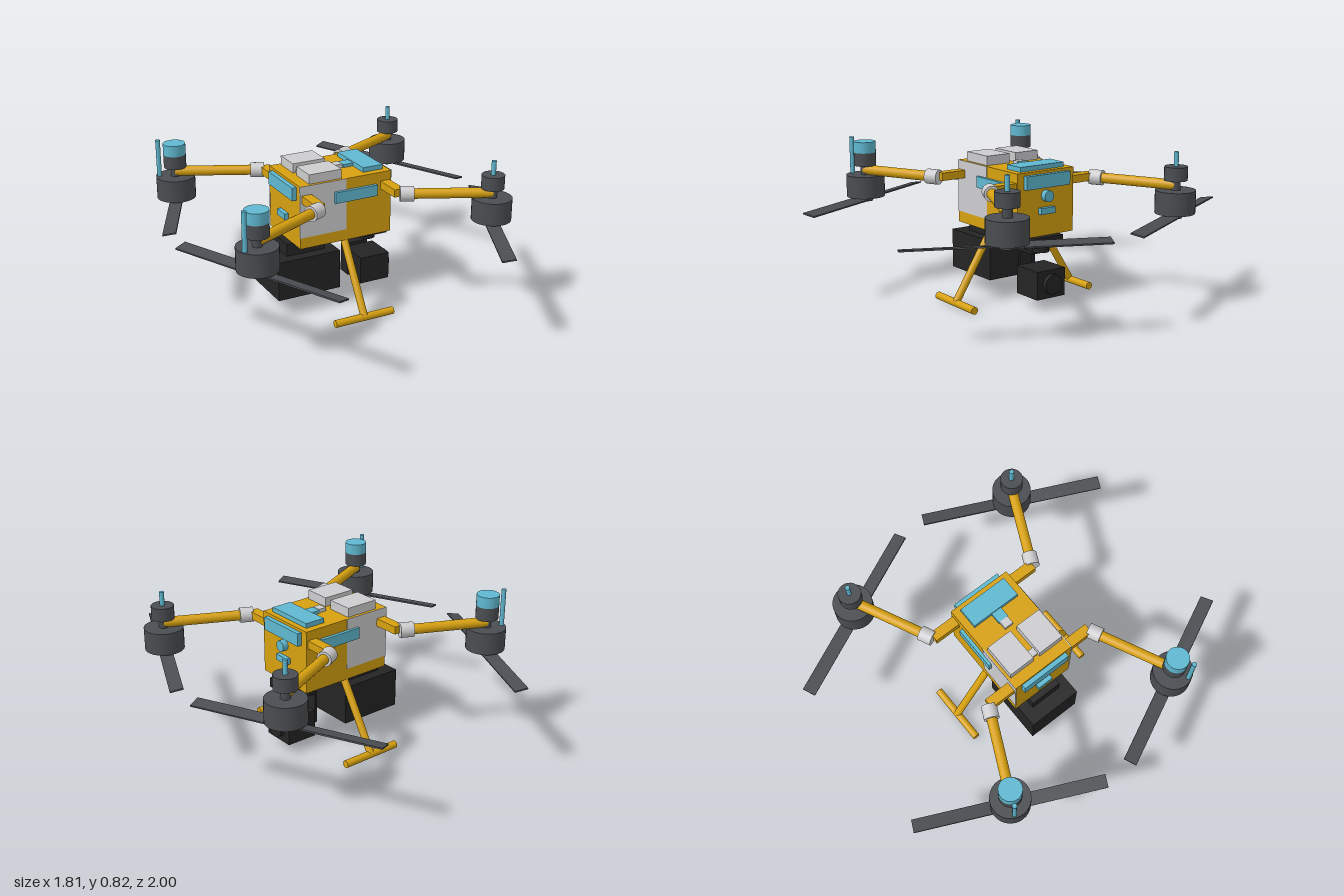
import * as THREE from 'three';

const paint = (name, hex) => Object.assign(new THREE.MeshStandardMaterial({ color: hex }), { name });

export function createModel() {
  const yellow = paint('amber yellow', 0xd6a00f);
  const teal = paint('light teal', 0x5fb8d0);
  const grey = paint('pale grey', 0xcdcdcf);
  const slate = paint('slate grey', 0x4a4d51);
  const black = paint('soft black', 0x242424);
  const model = new THREE.Group();
  model.name = 'quadcopter';

  const add = (parent, name, geometry, material) => {
    const mesh = new THREE.Mesh(geometry, material);
    mesh.name = name;
    parent.add(mesh);
    return mesh;
  };
  // Box given by its limits on each axis
  const box = (parent, name, material, [x0, x1], [y0, y1], [z0, z1]) => {
    const mesh = add(parent, name, new THREE.BoxGeometry(x1 - x0, y1 - y0, z1 - z0), material);
    mesh.position.set((x0 + x1) / 2, (y0 + y1) / 2, (z0 + z1) / 2);
    return mesh;
  };
  // Cylinder between two points
  const rod = (parent, name, material, a, b, radius, sides = 20) => {
    const p = new THREE.Vector3(...a), q = new THREE.Vector3(...b);
    const mesh = add(parent, name, new THREE.CylinderGeometry(radius, radius, p.distanceTo(q), sides), material);
    mesh.position.copy(p).lerp(q, 0.5);
    mesh.quaternion.setFromUnitVectors(new THREE.Vector3(0, 1, 0), q.sub(p).normalize());
    return mesh;
  };

  // Hull
  const body = new THREE.Group();
  body.name = 'body';
  model.add(body);
  box(body, 'hull', yellow, [-0.265, 0.265], [0.38, 0.72], [-0.18, 0.18]);
  box(body, 'topPlate', teal, [0.12, 0.235], [0.72, 0.745], [-0.14, 0.14]);
  box(body, 'topSensor', teal, [0.06, 0.12], [0.72, 0.737], [-0.03, 0.03]);
  box(body, 'topConnector', grey, [0.015, 0.06], [0.72, 0.74], [-0.025, 0.025]);
  box(body, 'topLatch', grey, [-0.19, -0.15], [0.72, 0.735], [-0.025, 0.025]);
  box(body, 'bottomSensor', teal, [0.045, 0.1], [0.36, 0.38], [-0.14, 0.14]);
  for (const s of [-1, 1]) {
    const across = (a, b) => [Math.min(s * a, s * b), Math.max(s * a, s * b)];
    box(body, 'topPack', grey, [-0.205, -0.02], [0.72, 0.77], across(0.02, 0.165));
    box(body, 'sidePanel', grey, [-0.267, 0], [0.44, 0.72], across(0.176, 0.182));
    box(body, 'sideStrip', teal, [-0.07, 0.175], [0.6, 0.66], across(0.18, 0.198));
    box(body, 'endBand', teal, across(0.265, 0.29), [0.635, 0.705], [-0.14, 0.14]);
    box(body, 'endSensor', teal, across(0.265, 0.288), [0.497, 0.53], [-0.045, 0.045]);
  }
  rod(body, 'eyeSensor', teal, [0.265, 0.59, 0], [0.297, 0.59, 0], 0.03, 12);

  // Arms with motors and propellers
  for (const sx of [-1, 1]) for (const sz of [-1, 1]) {
    const arm = new THREE.Group();
    arm.name = 'arm';
    model.add(arm);
    const at = (x, y, z) => [sx * x, y, sz * z];
    const X = 0.66, Z = 0.53;
    const stub = add(arm, 'armStub', new THREE.BoxGeometry(0.055, 0.042, 0.17), yellow);
    stub.position.set(...at(0.228, 0.65, 0.24));
    rod(arm, 'armTube', yellow, at(0.235, 0.645, 0.328), at(X, 0.645, Z), 0.027);
    rod(arm, 'armCollar', grey, at(0.23, 0.645, 0.326), at(0.295, 0.645, 0.357), 0.04);

    rod(arm, 'motorDrum', slate, at(X, 0.5, Z), at(X, 0.62, Z), 0.104, 32);
    rod(arm, 'motorNeck', slate, at(X, 0.62, Z), at(X, 0.67, Z), 0.025);
    rod(arm, 'motorCap', slate, at(X, 0.67, Z), at(X, 0.742, Z), 0.06, 24);
    if (sx > 0) {
      rod(arm, 'antennaPost', teal, at(X, 0.74, Z), at(X, 0.817, Z), 0.0125, 12);
    } else {
      rod(arm, 'receiverDisc', teal, at(X, 0.742, Z), at(X, 0.802, Z), 0.06, 24);
      rod(arm, 'antenna', teal, at(0.738, 0.62, 0.566), at(0.738, 0.82, 0.566), 0.0125, 12);
    }

    // Two blades, pitched in opposite senses
    const propeller = new THREE.Group();
    propeller.name = 'propeller';
    propeller.position.set(...at(X, 0.487, Z));
    propeller.rotation.y = Math.atan2(-sx * 0.425, sz * 0.905);
    arm.add(propeller);
    rod(propeller, 'propellerHub', slate, [0, -0.013, 0], [0, 0.013, 0], 0.038);
    for (const end of [-1, 1]) {
      const blade = add(propeller, 'blade', new THREE.BoxGeometry(0.07, 0.008, 0.5), slate);
      blade.position.z = end * 0.25;
      blade.rotation.z = end * sx * sz * 0.17;
    }
  }

  // Landing gear
  for (const s of [-1, 1]) {
    rod(model, 'landingLeg', yellow, [0, 0.39, s * 0.15], [0, 0.025, s * 0.38], 0.02);
    rod(model, 'landingSkid', yellow, [-0.17, 0.02, s * 0.38], [0.17, 0.02, s * 0.38], 0.02);
  }

  // Battery under the rear
  box(model, 'batteryMount', black, [-0.3, -0.08], [0.31, 0.38], [-0.09, 0.09]);
  box(model, 'battery', black, [-0.378, -0.02], [0.098, 0.312], [-0.15, 0.15]);

  // Hanging camera
  const gimbal = new THREE.Group();
  gimbal.name = 'cameraGimbal';
  model.add(gimbal);
  box(gimbal, 'gimbalMount', black, [0.15, 0.3], [0.328, 0.38], [-0.088, 0.088]);
  rod(gimbal, 'gimbalMotor', black, [0.225, 0.288, 0], [0.225, 0.33, 0], 0.045);
  box(gimbal, 'gimbalTopBar', black, [0.09, 0.205], [0.27, 0.288], [-0.04, 0.04]);
  box(gimbal, 'gimbalBackBar', black, [0.088, 0.1], [0.1, 0.285], [-0.04, 0.04]);
  box(gimbal, 'gimbalPivot', black, [0.09, 0.2], [0.115, 0.152], [-0.03, 0.03]);
  box(gimbal, 'cameraBody', black, [0.14, 0.315], [0.057, 0.207], [-0.09, 0.09]);
  rod(gimbal, 'cameraLens', black, [0.31, 0.133, 0], [0.34, 0.133, 0], 0.054, 16);

  return model;
}
